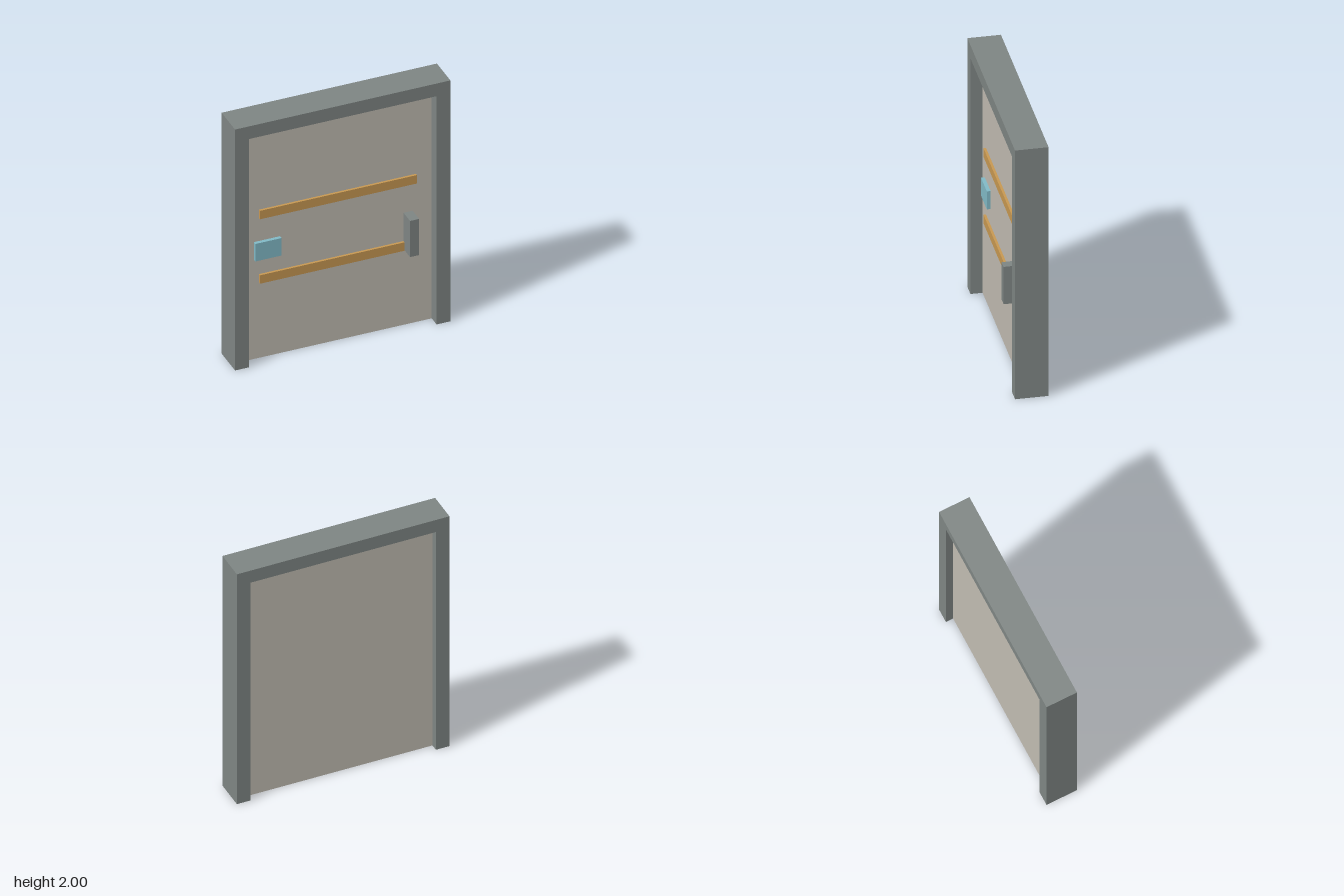
import * as THREE from 'three';

export function createModel() {
  const model = new THREE.Group();
  model.name = 'door';

  const material = (name, color) => {
    const m = new THREE.MeshStandardMaterial({ color });
    m.name = name;
    return m;
  };
  const grey = material('frame grey', 0x7f8684);
  const beige = material('panel beige', 0xc1bcb2);
  const amber = material('bar amber', 0xc99952);
  const blue = material('plate blue', 0x82bbc8);

  // Box given by its extents on each axis
  const box = (name, mat, [x0, x1], [y0, y1], [z0, z1]) => {
    const mesh = new THREE.Mesh(new THREE.BoxGeometry(x1 - x0, y1 - y0, z1 - z0), mat);
    mesh.position.set((x0 + x1) / 2, (y0 + y1) / 2, (z0 + z1) / 2);
    mesh.name = name;
    model.add(mesh);
  };

  const W = 0.82, inner = 0.715, lintel = 1.895; // frame half width, opening
  const back = -0.135, front = 0.105;            // frame depth
  const face = 0.018;                            // front of the door panel

  // Frame: one arch-shaped extrusion, open at the floor
  const outline = new THREE.Shape([
    [-W, 0], [-inner, 0], [-inner, lintel], [inner, lintel],
    [inner, 0], [W, 0], [W, 2], [-W, 2],
  ].map(([x, y]) => new THREE.Vector2(x, y)));
  const frame = new THREE.Mesh(
    new THREE.ExtrudeGeometry(outline, { depth: front - back, bevelEnabled: false }), grey);
  frame.position.z = back;
  frame.name = 'frame';
  model.add(frame);

  // Door panel, recessed on both sides
  box('panel', beige, [-inner, inner], [0, lintel], [-0.078, face]);

  // Two horizontal bars
  box('upperBar', amber, [-0.6, 0.595], [1.16, 1.23], [face, 0.036]);
  box('lowerBar', amber, [-0.6, 0.595], [0.625, 0.695], [face, 0.036]);

  // Small plate and handle
  box('plate', blue, [-0.64, -0.44], [0.825, 0.97], [face, 0.045]);
  box('handle', grey, [0.5, 0.57], [0.63, 0.93], [face, 0.135]);

  return model;
}
